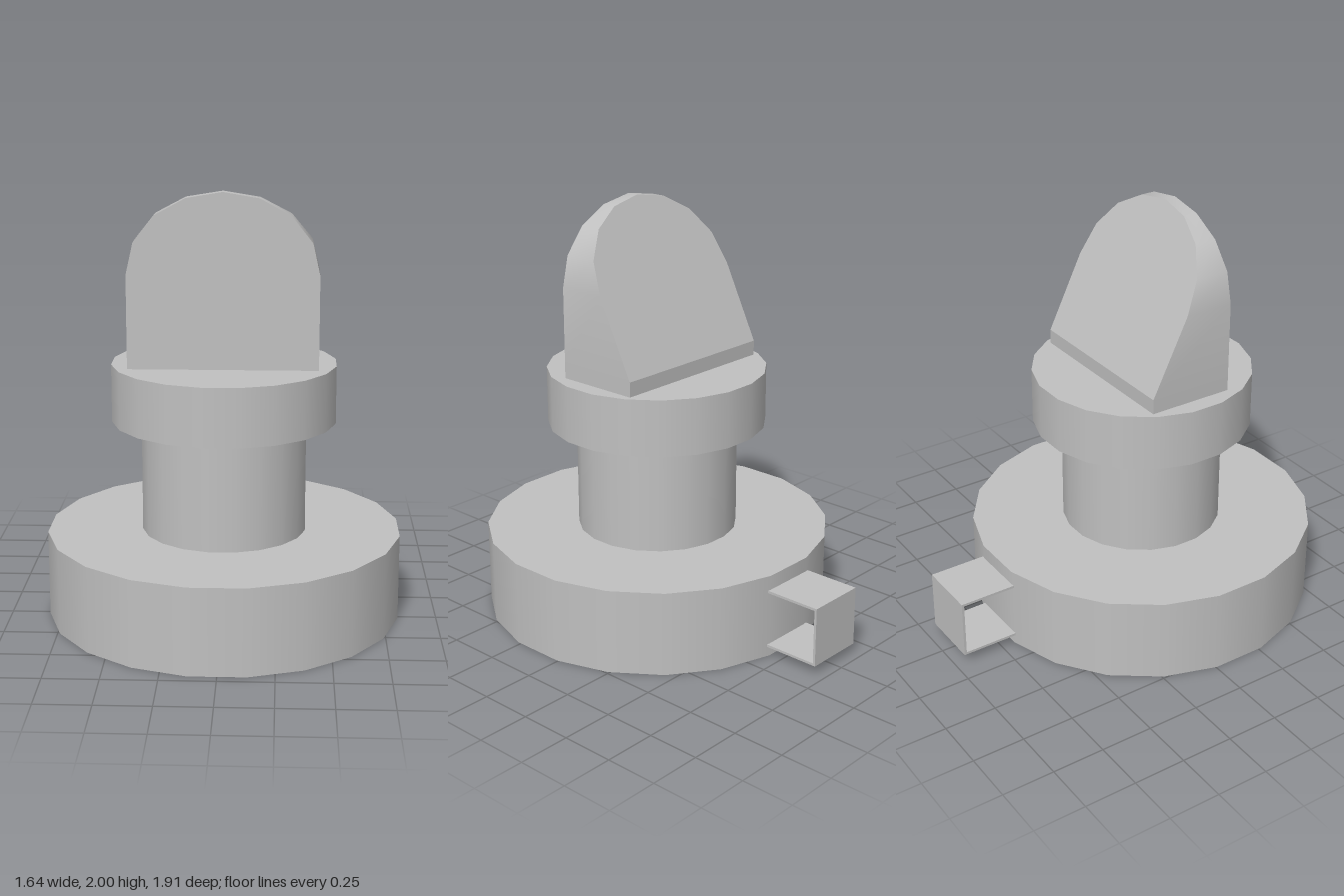
import * as THREE from 'three';
import { mergeGeometries, toCreasedNormals } from 'three/addons/utils/BufferGeometryUtils.js';

const SIDES = 20;
const AXIS_Z = 0.135;

// Revolved part: smooth around the axis, sharp at every profile corner
function turned(points) {
  const bands = [];
  for (let i = 0; i < points.length - 1; i++) {
    const pair = [points[i], points[i + 1]].map(([r, y]) => new THREE.Vector2(r, y));
    bands.push(new THREE.LatheGeometry(pair, SIDES, Math.PI / SIDES));
  }
  return mergeGeometries(bands).translate(0, 0, AXIS_Z);
}

// Box given by its limits on each axis
function boxBetween(x0, x1, y0, y1, z0, z1) {
  return new THREE.BoxGeometry(x1 - x0, y1 - y0, z1 - z0)
    .translate((x0 + x1) / 2, (y0 + y1) / 2, (z0 + z1) / 2);
}

// Arched blade whose back slopes from the thin tip to the deep foot
function bladeGeometry() {
  const half = [[0.433, 1.27], [0.433, 1.63], [0.4, 1.775], [0.305, 1.895], [0.165, 1.972]];
  const outline = [...half, [0, 2], ...half.map(([x, y]) => [-x, y]).reverse()];
  const shape = new THREE.Shape(outline.map(([x, y]) => new THREE.Vector2(x, y)));
  const geo = new THREE.ExtrudeGeometry(shape, { depth: 1, bevelEnabled: false });
  const p = geo.attributes.position;
  for (let i = 0; i < p.count; i++) {
    const back = -0.103 + (p.getY(i) - 1.27) * (0.358 / 0.73);
    p.setZ(i, p.getZ(i) > 0.5 ? 0.31 : back);
  }
  geo.computeVertexNormals();
  return toCreasedNormals(geo, 0.5);
}

export function createModel() {
  const group = new THREE.Group();
  const grey = new THREE.MeshStandardMaterial({ color: 0xc0c0c0 });
  grey.name = 'light grey';
  const add = (name, geo, parent = group) => {
    const mesh = new THREE.Mesh(geo, grey);
    mesh.name = name;
    parent.add(mesh);
  };

  // Hollow base drum with a round opening underneath and one into the neck
  add('base', turned([
    [0.345, 0], [0.83, 0], [0.83, 0.405], [0.345, 0.405],
    [0.345, 0.393], [0.818, 0.393], [0.818, 0.012], [0.345, 0.012], [0.345, 0],
  ]));

  // Tubular neck
  add('neckOutside', turned([[0.385, 0.405], [0.385, 0.93]]));
  add('neckInside', turned([[0.345, 0.93], [0.345, 0.405]]));

  // Collar
  add('collar', turned([[0, 0.93], [0.522, 0.93], [0.522, 1.2], [0, 1.2]]));

  // Blade on the collar
  const blade = new THREE.Group();
  blade.name = 'blade';
  group.add(blade);
  add('bladeFoot', boxBetween(-0.433, 0.433, 1.2, 1.27, -0.103, 0.31), blade);
  add('bladeArch', bladeGeometry(), blade);

  // Strap loop on the back of the base, open at its sides
  const strap = new THREE.Group();
  strap.name = 'strap';
  group.add(strap);
  add('strapTop', boxBetween(-0.146, 0.146, 0.323, 0.335, -0.958, -0.683), strap);
  add('strapBottom', boxBetween(-0.146, 0.146, 0.05, 0.062, -0.958, -0.683), strap);
  add('strapBack', boxBetween(-0.146, 0.146, 0.062, 0.323, -0.958, -0.946), strap);

  return group;
}
